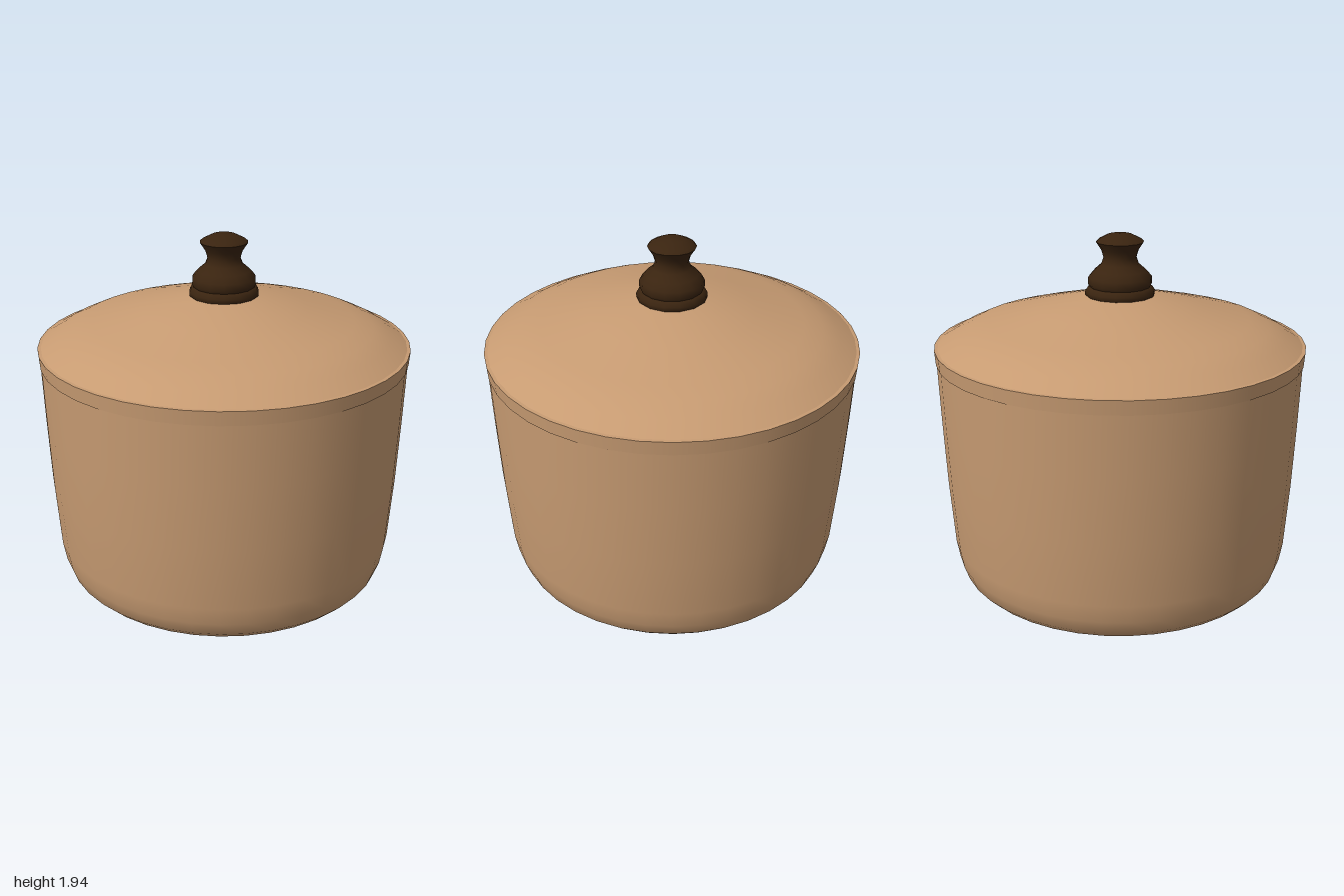
import * as THREE from 'three';

const clay = new THREE.MeshStandardMaterial({ color: 0xc79b72 });
clay.name = 'tanEnamel';
const wood = new THREE.MeshStandardMaterial({ color: 0x3a2410 });
wood.name = 'darkWood';

// Turned part; profile runs bottom to top as [radius, height]
function turned(name, profile, material, segments) {
  const points = profile.map(([r, y]) => new THREE.Vector2(r, y));
  const mesh = new THREE.Mesh(new THREE.LatheGeometry(points, segments), material);
  mesh.name = name;
  return mesh;
}

export function createModel() {
  const pot = new THREE.Group();
  pot.name = 'lidded pot';

  // Body: flat base, rounded lower edge, gently flaring wall
  pot.add(turned('potBase', [[0, 0.005], [0.79, 0.018]], clay, 40));
  pot.add(turned('potWall', [
    [0.79, 0.018], [0.85, 0.035], [0.89, 0.075], [0.917, 0.15], [0.935, 0.25],
    [0.96, 0.6], [0.976, 0.95], [0.988, 1.285],
  ], clay, 40));

  // Rim band and its narrow upper and lower edges
  pot.add(turned('rimUnderside', [[0.984, 1.28], [0.992, 1.28]], clay, 40));
  pot.add(turned('rimBand', [[0.992, 1.28], [0.998, 1.355]], clay, 40));
  pot.add(turned('rimTop', [[0.998, 1.355], [0.975, 1.357]], clay, 40));

  // Lid: steep shoulder easing into a shallow cone
  pot.add(turned('lid', [
    [0.98, 1.357], [0.89, 1.41], [0.8, 1.452], [0.7, 1.48], [0.45, 1.545], [0.19, 1.61], [0, 1.615],
  ], clay, 40));

  // Knob: foot ring, round belly, narrow neck and flared cap
  const knob = new THREE.Group();
  knob.name = 'knob';
  knob.add(turned('knobFoot', [
    [0.175, 1.605], [0.187, 1.615], [0.187, 1.635], [0.175, 1.655], [0.16, 1.66],
  ], wood, 14));
  knob.add(turned('knobStem', [
    [0.16, 1.655], [0.172, 1.675], [0.17, 1.71], [0.14, 1.745], [0.1, 1.78],
    [0.088, 1.815], [0.1, 1.855], [0.128, 1.897],
  ], wood, 14));
  knob.add(turned('knobCap', [[0.128, 1.897], [0.115, 1.91], [0.065, 1.935], [0, 1.94]], wood, 14));
  pot.add(knob);

  return pot;
}
